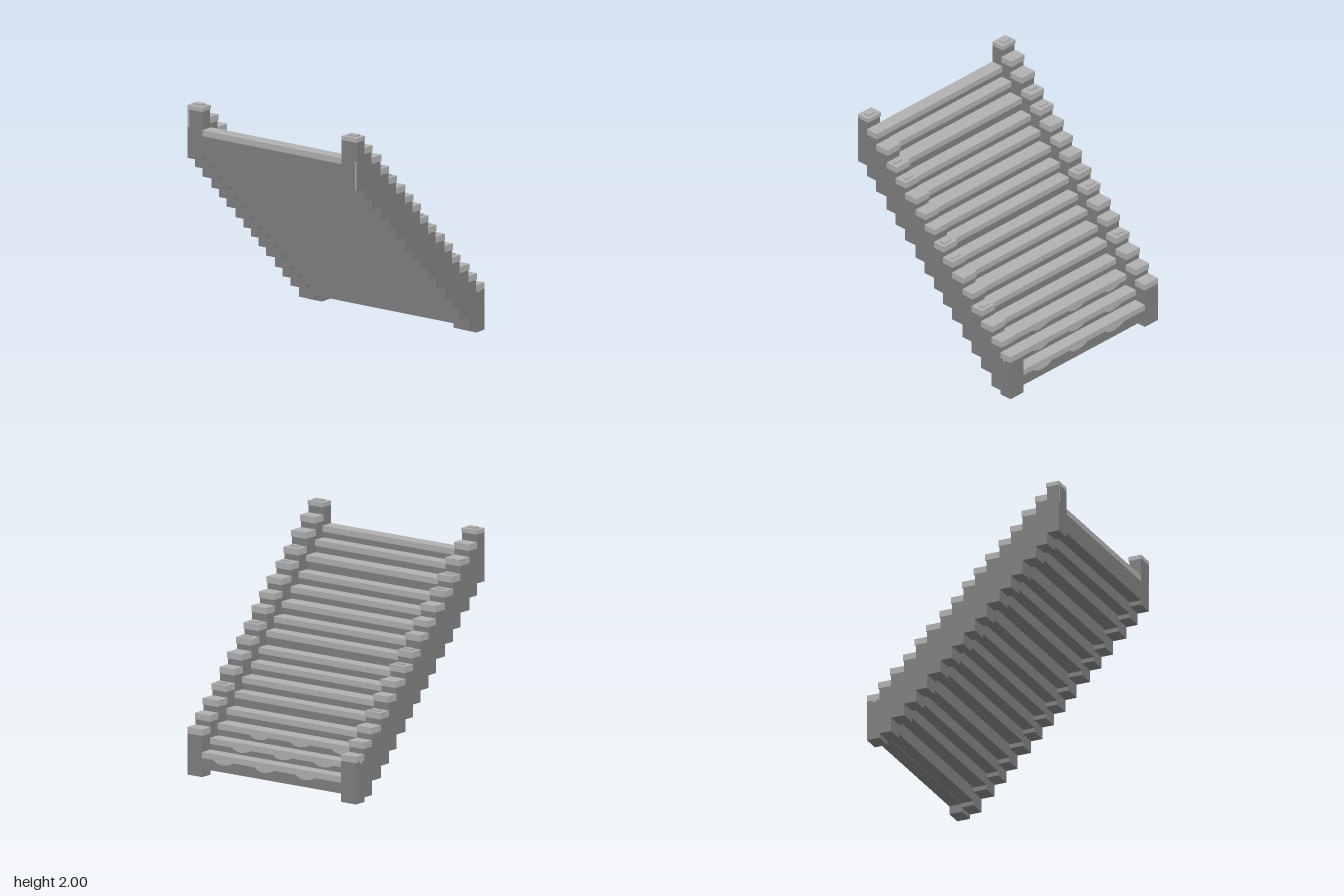
import * as THREE from 'three';

export function createModel() {
  const model = new THREE.Group();
  model.name = 'staircase';
  const stone = new THREE.MeshStandardMaterial({ name: 'dark stone', color: 0x7f7f7f });
  const light = new THREE.MeshStandardMaterial({ name: 'light stone', color: 0xb0b0b0 });

  // box given by its minimum and maximum corners
  function block(name, parent, material, x0, x1, y0, y1, z0, z1) {
    const mesh = new THREE.Mesh(new THREE.BoxGeometry(x1 - x0, y1 - y0, z1 - z0), material);
    mesh.position.set((x0 + x1) / 2, (y0 + y1) / 2, (z0 + z1) / 2);
    mesh.name = name;
    parent.add(mesh);
  }

  // step edges from the high front to the low back, and heights of the side walls
  const edges = [0.863, 0.76, 0.66, 0.54, 0.437, 0.333, 0.213, 0.11, 0.007,
    -0.095, -0.198, -0.318, -0.42, -0.525, -0.643, -0.747, -0.86];
  const tops = [1.985, 1.885, 1.78, 1.66, 1.557, 1.455, 1.35, 1.25, 1.13,
    1.027, 0.925, 0.82, 0.702, 0.6, 0.497, 0.398];
  const bottoms = [1.54, 1.44, 1.337, 1.217, 1.115, 1.012, 0.895, 0.79, 0.69,
    0.586, 0.482, 0.363, 0.26, 0.158, 0.038, 0];
  const IN = 0.71, OUT = 0.863, OVERHANG = 0.011;

  tops.forEach((top, i) => {
    const step = new THREE.Group();
    step.name = `step${i + 1}`;
    model.add(step);
    const front = edges[i], back = edges[i + 1];
    const lip = i === 15 ? back : back - OVERHANG;
    // side walls with light caps
    const capBase = top - (i === 0 ? 0.035 : 0.053);
    for (const [name, x0, x1] of [['left', IN, OUT], ['right', -OUT, -IN]]) {
      block(name + 'Wall', step, stone, x0, x1, bottoms[i], capBase, back, front);
      block(name + 'Cap', step, light, x0, x1, capBase, top, lip, front);
    }
    // tread between the walls
    const treadTop = top - 0.188;
    block('riser', step, stone, -IN, IN, Math.max(bottoms[i] + 0.037, 0.07), treadTop - 0.05, back, front);
    block('tread', step, light, -IN, IN, treadTop - 0.05, treadTop, lip, front);
  });

  // small raised tiles on some caps: [step, z, depth]
  for (const [i, z, d] of [[0, 0.8, 0.05], [3, 0.487, 0.035], [4, 0.367, 0.033],
    [8, -0.055, 0.05], [9, -0.165, 0.033], [12, -0.493, 0.035]]) {
    for (const s of [-1, 1]) {
      block('capTile', model, light, s * 0.789 - 0.042, s * 0.789 + 0.042,
        tops[i] - 0.005, tops[i] + 0.015, z - d / 2, z + d / 2);
    }
  }

  // thin worn patches below the lowest tread lips
  const patch = new THREE.Shape([[-0.1, 0], [0.1, 0], [0.07, -0.022], [0.01, -0.032], [-0.06, -0.02]]
    .map(([x, y]) => new THREE.Vector2(x, y)));
  const patchGeometry = new THREE.ExtrudeGeometry(patch, { depth: 0.005, bevelEnabled: false });
  for (const i of [13, 14, 15]) {
    for (let k = 0; k < 3; k++) {
      const mesh = new THREE.Mesh(patchGeometry, light);
      mesh.name = 'wornPatch';
      mesh.position.set(-0.45 + k * 0.42 + (i - 14) * 0.1, tops[i] - 0.238, edges[i + 1] - 0.004);
      model.add(mesh);
    }
  }

  // narrow worn edges on the front posts and the last wall
  block('wornEdge', model, light, -0.858, -0.843, 1.8, 1.95, 0.862, 0.865);
  block('wornEdge', model, light, 0.85, 0.86, 1.55, 1.79, 0.862, 0.865);
  for (const s of [-1, 1]) {
    block('wornEdge', model, light, s * 0.8635 - 0.0015, s * 0.8635 + 0.0015, 0.33, 0.35, -0.805, -0.775);
  }
  return model;
}
